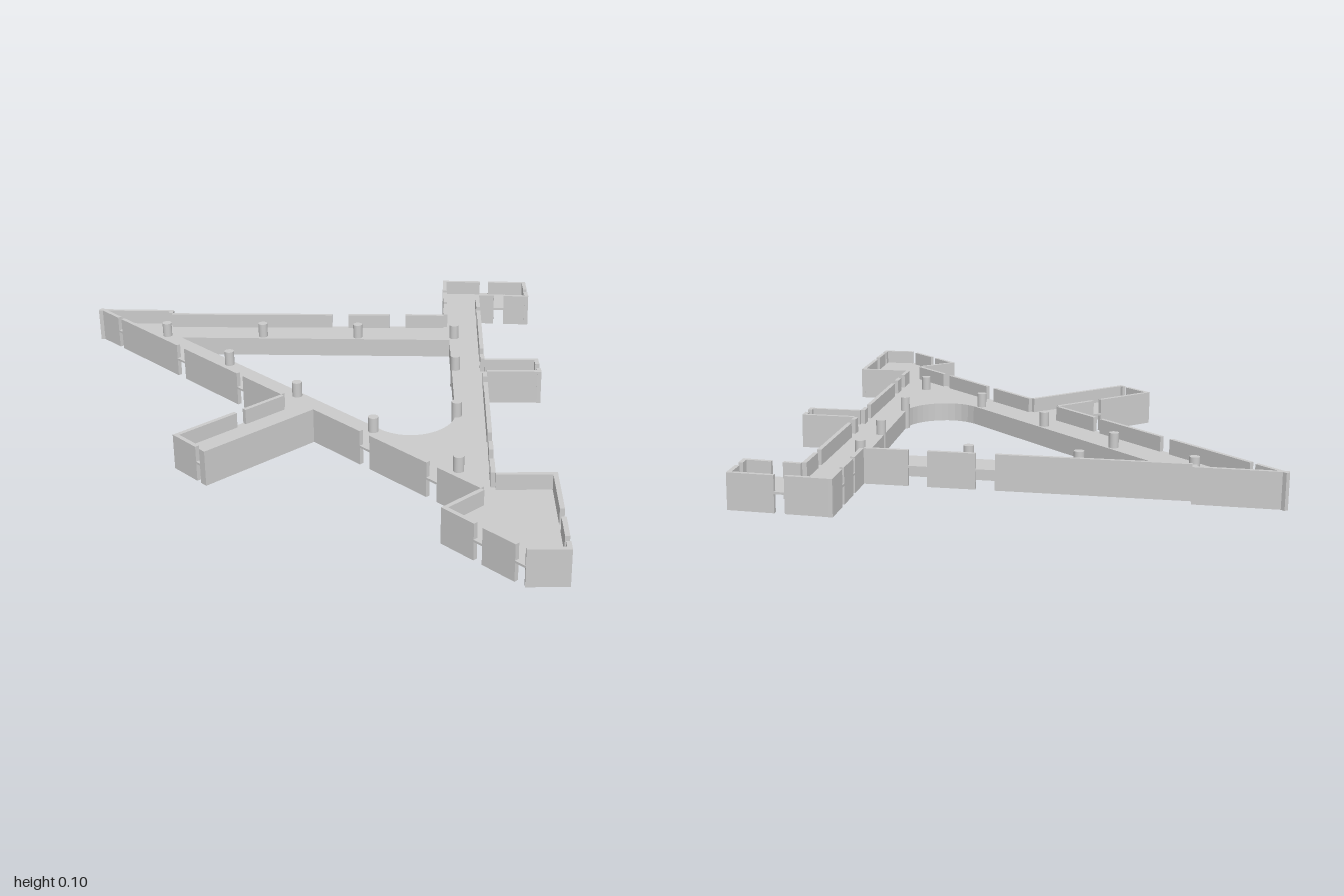
import * as THREE from 'three';

const WALL_H = 0.097, FLOOR_Y = 0.055, SLAB = 0.006, THICK = 0.012;

// Outer plan: [x, z, gaps along the edge to the next corner as start/end fractions]
const outline = [
  [-0.4, -1, [[0.115, 0.135], [0.46, 0.5], [0.78, 0.81]]],
  [-0.4, -0.095, [[0.37, 0.45]]],
  [-0.76, -0.095, [[0.72, 0.84]]],
  [-0.76, 0.04],
  [-0.4, 0.04, [[0.3, 0.36], [0.7, 0.76]]],
  [-0.4, 0.655],
  [-0.535, 0.655, [[0.4, 0.5], [0.88, 1]]],
  [-0.535, 0.92],
  [-0.46, 0.99, [[0.1, 0.16], [0.4, 0.5]]],
  [-0.205, 0.73],
  [-0.315, 0.625, [[0.12, 0.2], [0.28, 0.36], [0.88, 0.94]]],
  [0.12, 0.19],
  [0.23, 0.3, [[0.3, 0.6]]],
  [0.295, 0.23],
  [0.185, 0.12, [[0.06, 0.14], [0.74, 0.8]]],
  [0.555, -0.25, [[0.3, 0.5]]],
  [0.66, -0.13, [[0.3, 0.5]]],
  [0.757, -0.23, [[0.45, 0.55]]],
  [0.57, -0.43, [[0.3, 0.36], [0.65, 0.7]]],
  [0.35, -0.21, [[0.14, 0.2], [0.35, 0.41]]],
  [-0.255, -0.81],
  [-0.235, -0.83],
];

// Courtyard plan with a rounded corner
function courtyardPoints() {
  const arc = new THREE.CubicBezierCurve(
    new THREE.Vector2(-0.295, 0.2), new THREE.Vector2(-0.285, 0.31),
    new THREE.Vector2(-0.16, 0.33), new THREE.Vector2(-0.09, 0.27));
  return [[-0.295, -0.71], ...arc.getPoints(12).map((p) => [p.x, p.y]), [0.285, -0.12]];
}

// Upright panel between two plan points, thickened towards the floor side
function panel(a, b, height, material, side, name) {
  const dx = b[0] - a[0], dz = b[1] - a[1], len = Math.hypot(dx, dz);
  const mesh = new THREE.Mesh(new THREE.BoxGeometry(len, height, THICK), material);
  const off = side * THICK / 2 / len;
  mesh.position.set((a[0] + b[0]) / 2 + dz * off, height / 2, (a[1] + b[1]) / 2 - dx * off);
  mesh.rotation.y = -Math.atan2(dz, dx);
  mesh.name = name;
  return mesh;
}

export function createModel() {
  const model = new THREE.Group();
  model.name = 'corridorBuilding';
  const grey = new THREE.MeshStandardMaterial({ color: 0xcccccc, flatShading: true });
  const court = courtyardPoints();

  // Floor slab with the courtyard cut out
  const toShape = ([x, z]) => new THREE.Vector2(x, -z);
  const shape = new THREE.Shape(outline.map(toShape));
  shape.holes.push(new THREE.Path(court.map(toShape)));
  const slab = new THREE.ExtrudeGeometry(shape, { depth: SLAB, bevelEnabled: false });
  slab.rotateX(-Math.PI / 2);
  const floor = new THREE.Mesh(slab, grey);
  floor.position.y = FLOOR_Y - SLAB;
  floor.name = 'floor';
  model.add(floor);

  // Outer walls, broken by openings
  const walls = new THREE.Group();
  walls.name = 'outerWalls';
  outline.forEach((a, i) => {
    const b = outline[(i + 1) % outline.length];
    const at = (t) => [a[0] + (b[0] - a[0]) * t, a[1] + (b[1] - a[1]) * t];
    let start = 0;
    for (const [from, to] of [...(a[2] || []), [1, 1]]) {
      if (from > start) walls.add(panel(at(start), at(from), WALL_H, grey, 1, 'wallSegment'));
      start = to;
    }
  });
  model.add(walls);

  // Wall around the courtyard, up to the floor
  const skirt = new THREE.Group();
  skirt.name = 'courtyardWall';
  court.forEach((a, i) => {
    skirt.add(panel(a, court[(i + 1) % court.length], FLOOR_Y, grey, -1, 'courtyardPanel'));
  });
  model.add(skirt);

  // Round columns along the corridors
  const columns = new THREE.Group();
  columns.name = 'columns';
  const columnGeo = new THREE.CylinderGeometry(0.014, 0.014, WALL_H, 16);
  const columnMat = new THREE.MeshStandardMaterial({ color: 0xcccccc });
  const spots = [
    [-0.315, -0.755], [-0.315, -0.44], [-0.315, -0.13], [-0.315, 0.185], [-0.315, 0.5],
    [-0.105, -0.545], [0.1, -0.335], [0.31, -0.125], [0.138, 0.048], [-0.087, 0.272],
  ];
  for (const [x, z] of spots) {
    const column = new THREE.Mesh(columnGeo, columnMat);
    column.position.set(x, WALL_H / 2, z);
    column.name = 'column';
    columns.add(column);
  }
  model.add(columns);
  return model;
}
